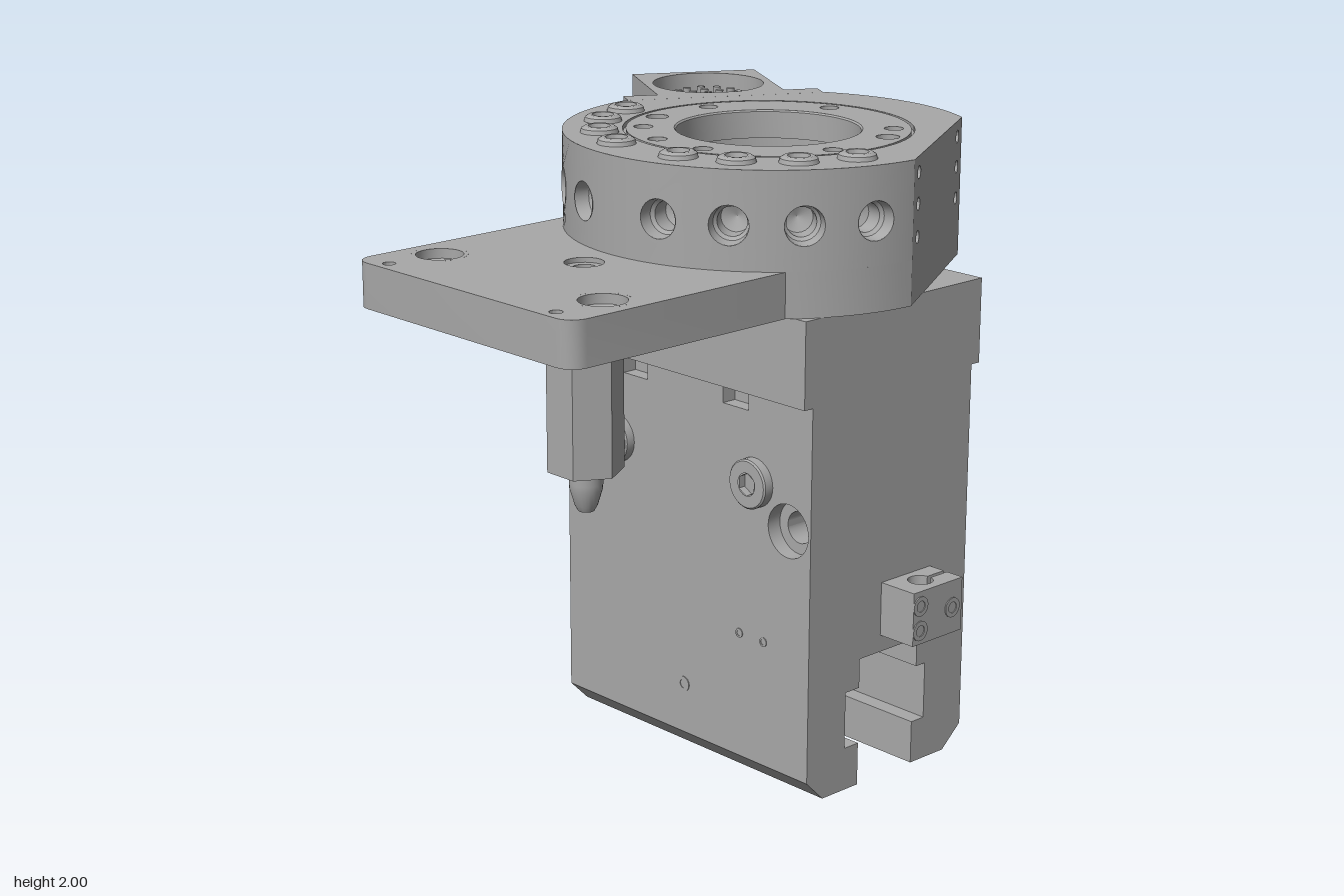
import * as THREE from 'three';
import { toCreasedNormals } from 'three/addons/utils/BufferGeometryUtils.js';

const grey = new THREE.MeshStandardMaterial({ color: 0xa8a8a8, side: THREE.DoubleSide });
grey.name = 'machined grey';

const RAD = Math.PI / 180;
const R = 0.635, FLAT = 0.535;               // head radius, distance of its two flats
const HALF = Math.acos(FLAT / R) / RAD;      // half angle covered by a flat
const polar = (r, deg) => [r * Math.sin(deg * RAD), r * Math.cos(deg * RAD)];

function add(parent, name, geo, x = 0, y = 0, z = 0) {
  const m = new THREE.Mesh(geo, grey);
  m.name = name;
  m.position.set(x, y, z);
  parent.add(m);
  return m;
}
const crease = g => toCreasedNormals(g, 0.5);
const poly = pts => new THREE.Shape(pts.map(p => new THREE.Vector2(p[0], p[1])));
const arc = (r, a0, a1, n) => Array.from({ length: n + 1 }, (_, i) => polar(r, a0 + (a1 - a0) * i / n));
const rect = (x0, y0, x1, y1) => [[x0, y0], [x1, y0], [x1, y1], [x0, y1]];

function punch(shape, x, y, r) {
  shape.holes.push(new THREE.Path().absarc(x, y, r, 0, Math.PI * 2, true));
}
// Plan shape (x, z) extruded between two heights
function slab(shape, y0, y1) {
  const g = new THREE.ExtrudeGeometry(shape, { depth: y1 - y0, bevelEnabled: false, curveSegments: 20 });
  return crease(g.rotateX(Math.PI / 2).translate(0, y1, 0));
}
// Flat plan face looking up
function face(shape, y) {
  return new THREE.ShapeGeometry(shape, 40).rotateX(-Math.PI / 2).scale(1, 1, 1).translate(0, y, 0);
}
function lathe(pts, seg = 32) {
  return crease(new THREE.LatheGeometry(pts.map(p => new THREE.Vector2(p[0], p[1])), seg));
}
// Lathe whose axis points along z
const latheZ = (pts, seg) => lathe(pts, seg).rotateX(Math.PI / 2);

// Wall panel with holes, bent round the head when curved, else placed on a flat
function panel(width, height, holes, curved) {
  const n = 6, pts = [];
  for (let i = 0; i <= n; i++) pts.push([-width / 2 + width * i / n, -height / 2]);
  for (let i = n; i >= 0; i--) pts.push([-width / 2 + width * i / n, height / 2]);
  const s = poly(pts);
  holes.forEach(h => punch(s, ...h));
  const g = new THREE.ShapeGeometry(s, 20), p = g.attributes.position, nm = g.attributes.normal;
  for (let i = 0; i < p.count; i++) {
    const a = p.getX(i) / R;
    if (curved) {
      nm.setXYZ(i, Math.sin(a), 0, Math.cos(a));
      p.setXYZ(i, R * Math.sin(a), p.getY(i), R * Math.cos(a));
    } else p.setZ(i, FLAT);
  }
  return g;
}

function buildHead(root) {
  const flat0 = 120 - HALF, flat1 = 120 + HALF;
  const rear = arc(R, flat1, 360 - flat1, 14);

  // Base plate with front tongue
  const W = 0.487, Z = 1.23, c = 0.06, a0 = Math.asin(W / R) / RAD;
  const corner = (sx, from) => Array.from({ length: 7 }, (_, i) => {
    const [x, z] = polar(c, from + 15 * i);
    return [sx * (W - c) + x, Z - c + z];
  });
  const plate = poly([...arc(R, a0, flat0, 10), ...rear, ...arc(R, 360 - flat0, 360 - a0, 10),
    ...corner(-1, -90), ...corner(1, 0)]);
  for (const s of [-1, 1]) {
    punch(plate, s * 0.365, 1.005, 0.085);
    punch(plate, s * 0.375, 1.185, 0.02);
    add(root, 'plateBushing', lathe([[0.085, 1.54], [0.062, 1.54], [0.062, 1.64], [0.072, 1.65], [0.072, 1.68], [0.085, 1.68]]),
      s * 0.365, 0, 1.005);
  }
  punch(plate, 0, 0.755, 0.06);
  punch(plate, 0, 0, 0.11);
  add(root, 'basePlate', slab(plate, 1.54, 1.68));
  add(root, 'pinBolt', lathe([[0.06, 1.68], [0.06, 1.665], [0.035, 1.665], [0.035, 1.63], [0, 1.63]], 24), 0, 0, 0.755);

  // Hexagonal stop pin with bullet tip
  add(root, 'hexPin', crease(new THREE.CylinderGeometry(0.118, 0.118, 0.5, 6)), 0, 1.29, 0.755).rotation.y = Math.PI / 6;
  add(root, 'pinTip', lathe([[0, 0.91], [0.025, 0.912], [0.035, 0.93], [0.05, 0.98], [0.052, 1.0], [0.052, 1.04]], 24), 0, 0, 0.755);

  // Outer wall of the head: numbered ports, plain arcs and flats
  for (const s of [-1, 1]) for (const deg of [15, 35, 55, 75]) {
    const port = new THREE.Group();
    port.name = 'port';
    port.rotation.y = s * deg * RAD;
    root.add(port);
    add(port, 'portWall', panel(R * 20 * RAD, 0.3, [[0, -0.015, 0.06]], true), 0, 1.83, 0);
    add(port, 'portBore', latheZ([[0.06, R], [0.055, 0.59], [0.045, 0.58], [0.045, 0.52], [0, 0.5]], 24), 0, 1.815, 0);
    add(port, 'setScrew', lathe([[0.06, 1.98], [0.056, 1.993], [0.045, 2], [0.034, 2], [0.03, 1.983], [0, 1.983]], 24), 0, 0, 0.523);
  }
  for (const [start, len] of [[-5, 10], [85, flat0 - 85], [-flat0, flat0 - 85], [flat1, 360 - 2 * flat1]])
    add(root, 'headWall', new THREE.CylinderGeometry(R, R, 0.3, 14, 1, true, start * RAD, len * RAD), 0, 1.83, 0);
  for (const s of [-1, 1]) {
    const holes = [];
    for (const x of [-0.277, 0.277]) for (const y of [-0.095, 0.005, 0.1]) holes.push([x, y, 0.02]);
    const side = add(root, 'headFlat', panel(2 * R * Math.sin(HALF * RAD), 0.3, holes, false), 0, 1.83, 0);
    side.rotation.y = s * 120 * RAD;
    for (const [x, y] of holes) add(side, 'flatHole', latheZ([[0.02, FLAT], [0.02, FLAT - 0.05], [0, FLAT - 0.06]], 12), x, y, 0);
  }

  // Top faces, split by a circular groove (plan z is flipped for the upward face)
  const up = pts => poly(pts.map(([x, z]) => [x, -z]));
  const outer = up([...arc(R, -flat0, flat0, 44), ...rear]);
  punch(outer, 0, 0, 0.449);
  add(root, 'headTop', face(outer, 1.98));
  const inner = new THREE.Shape().absarc(0, 0, 0.439, 0, Math.PI * 2);
  punch(inner, 0, 0, 0.29);
  for (const deg of [-105, -70, -45, -15, 15, 75, 115, 135, 195]) {
    const [x, z] = polar(0.385, deg), r = deg === -70 || deg === 115 ? 0.036 : 0.03;
    punch(inner, x, -z, r);
    const depth = r > 0.03 ? 0.1 : 0.03;
    add(root, 'faceHole', lathe([[r, 1.98], [r, 1.98 - depth], [0, 1.975 - depth]], 16), x, 0, z);
  }
  add(root, 'flangeTop', face(inner, 1.98));
  add(root, 'flangeGroove', lathe([[0.449, 1.98], [0.449, 1.965], [0.439, 1.965], [0.439, 1.98]], 64));
  add(root, 'centreBore', lathe([[0.29, 1.98], [0.285, 1.975], [0.285, 1.89], [0.31, 1.89], [0.31, 1.8],
    [0.278, 1.79], [0.278, 1.7], [0.11, 1.7], [0.11, 1.545], [0, 1.545]], 64));
}

// Ring pattern of contact pins: 1 + 6 + 12
function contacts(parent, geo, place, step) {
  for (let ring = 0; ring < 3; ring++) for (let i = 0; i < Math.max(1, ring * 6); i++) {
    const [u, v] = polar(ring * step, ring ? i * 60 / ring : 0);
    add(parent, 'contactPin', geo, ...place(u, v));
  }
}

function buildConnector(root) {
  const g = new THREE.Group();
  g.name = 'connector';
  g.rotation.y = 240 * RAD;
  root.add(g);
  add(g, 'mountPlate', new THREE.BoxGeometry(0.655, 0.36, 0.075), 0, 1.8, 0.573);
  const box = poly(rect(-0.213, 0.61, 0.213, 1.003));
  add(g, 'housingFloor', slab(box, 1.62, 1.85));
  const rim = box.clone();
  punch(rim, 0, 0.79, 0.185);
  add(g, 'housingRim', slab(rim, 1.85, 1.98));
  contacts(g, new THREE.CylinderGeometry(0.013, 0.013, 0.1, 10), (u, v) => [u, 1.9, 0.79 + v], 0.052);
  // Round rear plug
  add(g, 'plugShell', latheZ([[0.14, 1.0], [0.14, 1.03], [0.122, 1.03], [0.122, 1.15], [0.105, 1.15], [0.105, 1.12], [0, 1.12]]), 0, 1.785, 0);
  contacts(g, new THREE.CylinderGeometry(0.012, 0.012, 0.03, 10).rotateX(Math.PI / 2), (u, v) => [u, 1.785 + v, 1.13], 0.042);
  for (const x of [-0.16, 0.16]) for (const y of [-0.13, 0.13])
    add(g, 'plugScrew', latheZ([[0.032, 1.0], [0.032, 1.05], [0.018, 1.05], [0.018, 1.03], [0, 1.03]], 20), x, 1.79 + y, 0);
}

function buildBody(root) {
  // Lower body with through slot, profile in z and y swept along x
  const profile = poly([[0.28, 0], [0.35, 0.07], [0.35, 0.6], [-0.35, 0.6], [-0.35, 0.07], [-0.27, 0], [-0.12, 0],
    [-0.12, 0.14], [-0.175, 0.14], [-0.175, 0.325], [-0.135, 0.325], [-0.135, 0.42], [0.125, 0.42], [0.125, 0.325],
    [0.185, 0.325], [0.185, 0.14], [0.125, 0.14], [0.125, 0]]);
  const low = new THREE.ExtrudeGeometry(profile, { depth: 1.1, bevelEnabled: false });
  add(root, 'lowerBody', crease(low.translate(0, 0, -0.55).rotateY(-Math.PI / 2).scale(1, 1, 1)));

  // Middle body in three layers, the outer two carrying shallow pockets
  for (const [z, depth, pockets] of [[-0.35, 0.05, true], [-0.3, 0.6, false], [0.3, 0.05, true]]) {
    const s = poly(rect(-0.55, 0.6, 0.55, 1.27));
    for (const x of [-1, 1]) {
      punch(s, x * 0.455, 0.865, 0.085);
      if (pockets) s.holes.push(poly(rect(x * 0.225 - 0.055, 1.205, x * 0.225 + 0.055, 1.258)));
    }
    add(root, 'middleBody', crease(new THREE.ExtrudeGeometry(s, { depth, bevelEnabled: false, curveSegments: 20 })), 0, 0, z);
  }
  add(root, 'upperBlock', new THREE.BoxGeometry(1.1, 0.27, 0.77), 0, 1.405, 0);
  for (const x of [-1, 1]) {
    add(root, 'throughBore', latheZ([[0.085, 0.35], [0.085, 0.3], [0.05, 0.3], [0.05, -0.3], [0.085, -0.3], [0.085, -0.35]]), x * 0.455, 0.865, 0);
    add(root, 'frontBolt', latheZ([[0.078, 0.35], [0.078, 0.38], [0.073, 0.385], [0.036, 0.385]], 32), x * 0.31, 0.985, 0);
    add(root, 'boltSocket', latheZ([[0.037, 0.385], [0.037, 0.36], [0, 0.36]], 6), x * 0.31, 0.985, 0);
  }

  // Small plugs and a clamp block, repeated by a half turn
  for (const turn of [0, Math.PI]) {
    const g = new THREE.Group();
    g.name = turn ? 'rightSideDetails' : 'leftSideDetails';
    g.rotation.y = turn;
    root.add(g);
    for (const [x, y, r] of [[0.25, 0.48, 0.015], [0.355, 0.48, 0.015], [0, 0.235, 0.025]])
      add(g, 'smallPlug', latheZ([[r, 0.35], [r, 0.353], [r * 0.6, 0.353], [r * 0.6, 0.351], [0, 0.351]], 16), x, y, 0);
    const bore = Array.from({ length: 25 }, (_, i) => {
      const a = (-100 - 340 * i / 24) * RAD;
      return [0.615 + 0.04 * Math.cos(a), -0.07 + 0.04 * Math.sin(a)];
    });
    const clamp = poly([[0.55, -0.185], [0.608, -0.185], ...bore, [0.622, -0.185], [0.685, -0.185], [0.685, 0.035], [0.55, 0.035]]);
    add(g, 'clampBlock', slab(clamp, 0.475, 0.648));
    for (const [y, z] of [[0.6, 0.005], [0.52, 0.005], [0.56, -0.14]])
      add(g, 'clampScrew', latheZ([[0.032, 0], [0.032, 0.004], [0.018, 0.004], [0.018, 0.001], [0, 0.001]], 20), 0.685, y, z).rotation.y = Math.PI / 2;
  }
}

export function createModel() {
  const model = new THREE.Group();
  model.name = 'toolChanger';
  const root = new THREE.Group();
  root.name = 'assembly';
  root.position.set(0.185, 0, -0.27);
  model.add(root);
  buildHead(root);
  buildConnector(root);
  buildBody(root);
  return model;
}
